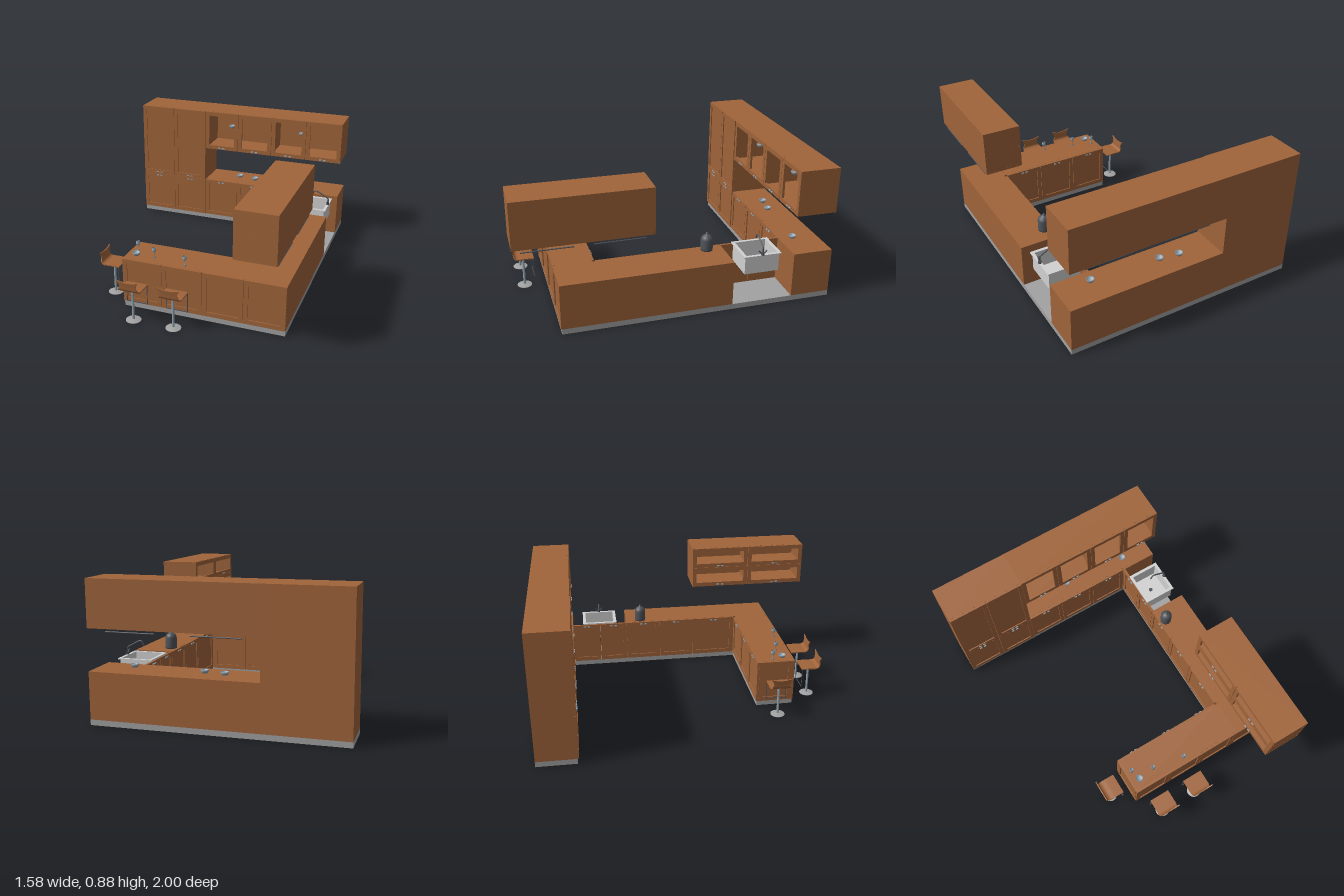
import * as THREE from 'three';

const mat = (name, color, side = THREE.FrontSide) => {
  const m = new THREE.MeshStandardMaterial({ color, side });
  m.name = name;
  return m;
};

export function createModel() {
  const wood = mat('wood', 0xa0643a);
  const plinthGrey = mat('plinthGrey', 0xa2a2a2);
  const steel = mat('steel', 0xd2d2d2);
  const dark = mat('darkMetal', 0x50545a);
  const chrome = mat('chrome', 0x94a4b0, THREE.DoubleSide);
  const root = new THREE.Group();
  root.name = 'kitchen';

  const add = (name, geo, m, x = 0, y = 0, z = 0, parent = root) => {
    const mesh = new THREE.Mesh(geo, m);
    mesh.name = name;
    mesh.position.set(x, y, z);
    parent.add(mesh);
    return mesh;
  };
  // box given by its two corners
  const block = (name, m, x0, x1, y0, y1, z0, z1, parent = root) =>
    add(name, new THREE.BoxGeometry(x1 - x0, y1 - y0, z1 - z0), m,
      (x0 + x1) / 2, (y0 + y1) / 2, (z0 + z1) / 2, parent);
  const lathe = (pts, n = 20) =>
    new THREE.LatheGeometry(pts.map(p => new THREE.Vector2(...p)), n);
  const rectPath = (P, x0, x1, y0, y1) => {
    const p = new P();
    p.moveTo(x0, y0); p.lineTo(x1, y0); p.lineTo(x1, y1); p.lineTo(x0, y1);
    p.closePath();
    return p;
  };

  // framed cabinet front, 0.015 deep; its back plane sits at the given point
  const T = 0.015, F = 0.03, G = 0.0012;
  const front = (x, z, turn, w, y0, y1, { open = false, handleY = null } = {}) => {
    const g = new THREE.Group();
    g.name = open ? 'openDoor' : 'door';
    const h = y1 - y0;
    const s = rectPath(THREE.Shape, -w / 2 + G, w / 2 - G, G / 2, h - G / 2);
    s.holes.push(rectPath(THREE.Path, -w / 2 + F, w / 2 - F, F, h - F));
    add('doorFrame', new THREE.ExtrudeGeometry(s, { depth: T, bevelEnabled: false }), wood, 0, 0, 0, g);
    if (!open) block('doorPanel', wood, -w / 2 + F, w / 2 - F, F, h - F, 0, 0.008, g);
    if (handleY !== null) for (const sx of [-1, 1])
      block('handle', chrome, sx * 0.016 - 0.009, sx * 0.016 + 0.009,
        handleY - y0 - 0.004, handleY - y0 + 0.004, T, T + 0.007, g);
    g.position.set(x, y0, z);
    g.rotation.y = turn;
    root.add(g);
  };
  const BACK = Math.PI, LEFTWARD = -Math.PI / 2;
  const P = 0.035, C = 0.33, U = 0.59, H = 0.885, M = 0.2637, X0 = -0.264;

  // plinth
  block('plinthBack', plinthGrey, -0.79, 0.79, 0, P, -1, -0.745);
  block('plinthSide', plinthGrey, 0.535, 0.79, 0, P, -0.745, 0.74);
  block('plinthIsland', plinthGrey, -0.258, 0.535, 0, P, 0.49, 0.74);

  // tall cupboards
  block('tallCarcass', wood, -0.79, X0, P, H, -1, -0.75);
  for (const x of [-0.6585, -0.3955]) {
    front(x, -0.75, 0, 0.263, P, C, { handleY: 0.315 });
    front(x, -0.75, 0, 0.263, C, H, { handleY: 0.345 });
  }

  // back base units
  block('backBaseCarcass', wood, X0, 0.79, P, C, -1, -0.755);
  for (let i = 0; i < 3; i++)
    front(X0 + M * (i + 0.5), -0.755, 0, M, P, C, { handleY: 0.315 });
  block('cornerFiller', wood, 0.528, 0.79, P, C, -0.755, -0.74);

  // hollow wall cupboard with open framed doors along its local +z
  const wallUnit = (x, z, turn, len, depth, dividers, rows) => {
    const g = new THREE.Group();
    g.name = 'wallCupboard';
    const L = len / 2, t = 0.012;
    block('cupboardBack', wood, -L, L, U, H, 0, t, g);
    block('cupboardBottom', wood, -L, L, U, U + t, t, depth, g);
    block('cupboardTop', wood, -L, L, H - t, H, t, depth, g);
    for (const d of dividers)
      block('cupboardSide', wood, Math.max(d - t / 2, -L), Math.min(d + t / 2, L), U + t, H - t, t, depth, g);
    if (rows > 1) block('cupboardShelf', wood, -L, L, (U + H - t) / 2, (U + H + t) / 2, t, depth, g);
    g.position.set(x, 0, z);
    g.rotation.y = turn;
    root.add(g);
  };
  wallUnit(0.263, -1, 0, 1.054, 0.245, [-0.521, 0, 0.521], 1);
  for (let i = 0; i < 4; i++)
    front(X0 + M * (i + 0.5), -0.755, 0, M, U, H, { open: true, handleY: 0.602 });
  wallUnit(0.79, 0.5825, LEFTWARD, 0.835, 0.235, [-0.411, 0, 0.411], 2);
  for (const z of [0.374, 0.791])
    for (const [a, b] of [[U, (U + H) / 2], [(U + H) / 2, H]])
      front(0.555, z, LEFTWARD, 0.417, a, b, { open: true, handleY: a + 0.012 });

  // side run with an uncovered sink bay
  block('sideCarcass', wood, 0.545, 0.79, P, C, -0.34, 0.73);
  for (const [z, w] of [[-0.64, 0.2], [-0.44, 0.2], [-0.214, 0.252], [0.039, 0.253], [0.325, 0.319]])
    front(0.545, z, LEFTWARD, w, P, C, { handleY: 0.315 });

  // island, framed on both faces and on its free end
  block('islandCarcass', wood, -0.25, 0.545, P, C, 0.5, 0.73);
  for (let i = 0; i < 4; i++) {
    const x = X0 + M * (i + 0.5);
    front(x, 0.73, 0, M, P, C);
    if (i < 3) front(x, 0.5, BACK, M, P, C, { handleY: 0.315 });
  }
  front(-0.25, 0.615, LEFTWARD, 0.232, P, C);

  // lamps under the wall cupboards
  const lamp = (x, z, along) => {
    const m = add('lampTube', new THREE.CylinderGeometry(0.004, 0.004, 0.306, 8), dark, x, 0.571, z);
    if (along === 'x') m.rotation.z = Math.PI / 2; else m.rotation.x = Math.PI / 2;
  };
  lamp(0, -0.98, 'x'); lamp(0.528, -0.98, 'x');
  lamp(0.782, 0.375, 'z'); lamp(0.782, 0.797, 'z');

  // sink bowl
  const sx = 0.65, sz = -0.54;
  const ring = (ox, oz, ix, iz, depth) => {
    const s = rectPath(THREE.Shape, -ox, ox, -oz, oz);
    s.holes.push(rectPath(THREE.Path, -ix, ix, -iz, iz));
    return new THREE.ExtrudeGeometry(s, { depth, bevelEnabled: false }).rotateX(-Math.PI / 2);
  };
  add('sinkRim', ring(0.115, 0.125, 0.095, 0.104, 0.008), steel, sx, 0.332, sz);
  add('sinkWalls', ring(0.104, 0.114, 0.096, 0.106, 0.117), steel, sx, 0.215, sz);
  block('sinkFloor', steel, sx - 0.1, sx + 0.1, 0.215, 0.221, sz - 0.11, sz + 0.11);
  add('sinkDrain', new THREE.CylinderGeometry(0.014, 0.014, 0.012, 16), dark, sx, 0.218, sz);

  // tap
  const tube = (name, pts, r, m, parent = root) => add(name, new THREE.TubeGeometry(
    new THREE.CatmullRomCurve3(pts.map(p => new THREE.Vector3(...p)), false, 'catmullrom', 0.3),
    32, r, 8), m, 0, 0, 0, parent);
  tube('tapSpout', [[0.757, 0.335, sz], [0.757, 0.382, sz], [0.745, 0.395, sz], [0.675, 0.433, sz],
    [0.655, 0.432, sz], [0.64, 0.405, sz]], 0.005, dark);
  add('tapBase', new THREE.CylinderGeometry(0.009, 0.011, 0.02, 14), dark, 0.757, 0.348, sz);
  for (const s of [-1, 1])
    tube('tapLever', [[0.757, 0.342, sz], [0.757, 0.355, sz + s * 0.014], [0.757, 0.372, sz + s * 0.027]], 0.004, dark);

  // kettle
  add('kettle', lathe([[0, 0], [0.038, 0], [0.039, 0.01], [0.039, 0.075], [0.032, 0.093],
    [0.018, 0.104], [0.005, 0.108], [0.008, 0.114], [0.006, 0.12], [0, 0.121]], 24), dark, 0.58, 0.332, -0.232);

  // bowls and glasses
  const bowl = lathe([[0, 0], [0.018, 0], [0.024, 0.012], [0.025, 0.02], [0.021, 0.018], [0.015, 0.006], [0, 0.005]]);
  for (const [x, y, z] of [[-0.2, C, 0.67], [-0.02, C, -0.88], [0.11, C, -0.86], [0.57, C, -0.83],
    [-0.085, 0.737, -0.86], [0.47, 0.737, -0.86]]) add('bowl', bowl, chrome, x, y + 0.003, z);
  const glass = lathe([[0, 0], [0.011, 0], [0.002, 0.004], [0.002, 0.032], [0.011, 0.039],
    [0.014, 0.05], [0.011, 0.064]], 14);
  for (const [x, z] of [[-0.22, 0.6], [-0.085, 0.655], [0.135, 0.695]]) add('glass', glass, chrome, x, C, z);

  // bar stools: bent seat swept along a side profile, backrest towards local +z
  const path = new THREE.CatmullRomCurve3([[-0.065, 0.222, 0.071], [0, 0.224, 0.071], [0.045, 0.224, 0.07],
    [0.061, 0.236, 0.063], [0.065, 0.265, 0.054], [0.069, 0.302, 0.073]]
    .map(([z, y, w]) => new THREE.Vector3(w, y, z)));
  const seatGeo = new THREE.BoxGeometry(2, 1, 1, 8, 1, 24);
  const pos = seatGeo.attributes.position;
  for (let i = 0; i < pos.count; i++) {
    const t = pos.getZ(i) + 0.5, u = pos.getX(i);
    const p = path.getPoint(t), d = path.getTangent(t);
    const len = Math.hypot(d.y, d.z), off = pos.getY(i) * 0.007;
    const dip = t > 0.7 ? (t - 0.7) * 0.045 * (1 - u * u) : 0;
    pos.setXYZ(i, u * p.x, p.y + off * d.z / len - dip, p.z - off * d.y / len);
  }
  seatGeo.computeVertexNormals();
  const stool = (x, z, turn) => {
    const g = new THREE.Group();
    g.name = 'barStool';
    add('stoolSeat', seatGeo, wood, 0, 0, 0, g);
    add('stoolPole', new THREE.CylinderGeometry(0.008, 0.008, 0.215, 14), chrome, 0, 0.11, 0, g);
    add('stoolBase', lathe([[0, 0], [0.048, 0], [0.048, 0.003], [0.012, 0.009], [0, 0.01]], 28), plinthGrey, 0, 0, 0, g);
    const bar = (x0, x1, y0, y1) => block('stoolFootrest', dark, x0, x1, y0, y1, -0.064, -0.06, g);
    bar(-0.07, -0.066, 0.088, 0.222);
    bar(0.066, 0.07, 0.088, 0.222);
    bar(-0.07, 0.07, 0.088, 0.092);
    g.position.set(x, 0, z);
    g.rotation.y = turn;
    root.add(g);
  };
  stool(-0.13, 0.885, 0);
  stool(0.135, 0.885, 0);
  stool(-0.391, 0.605, LEFTWARD);

  return root;
}
